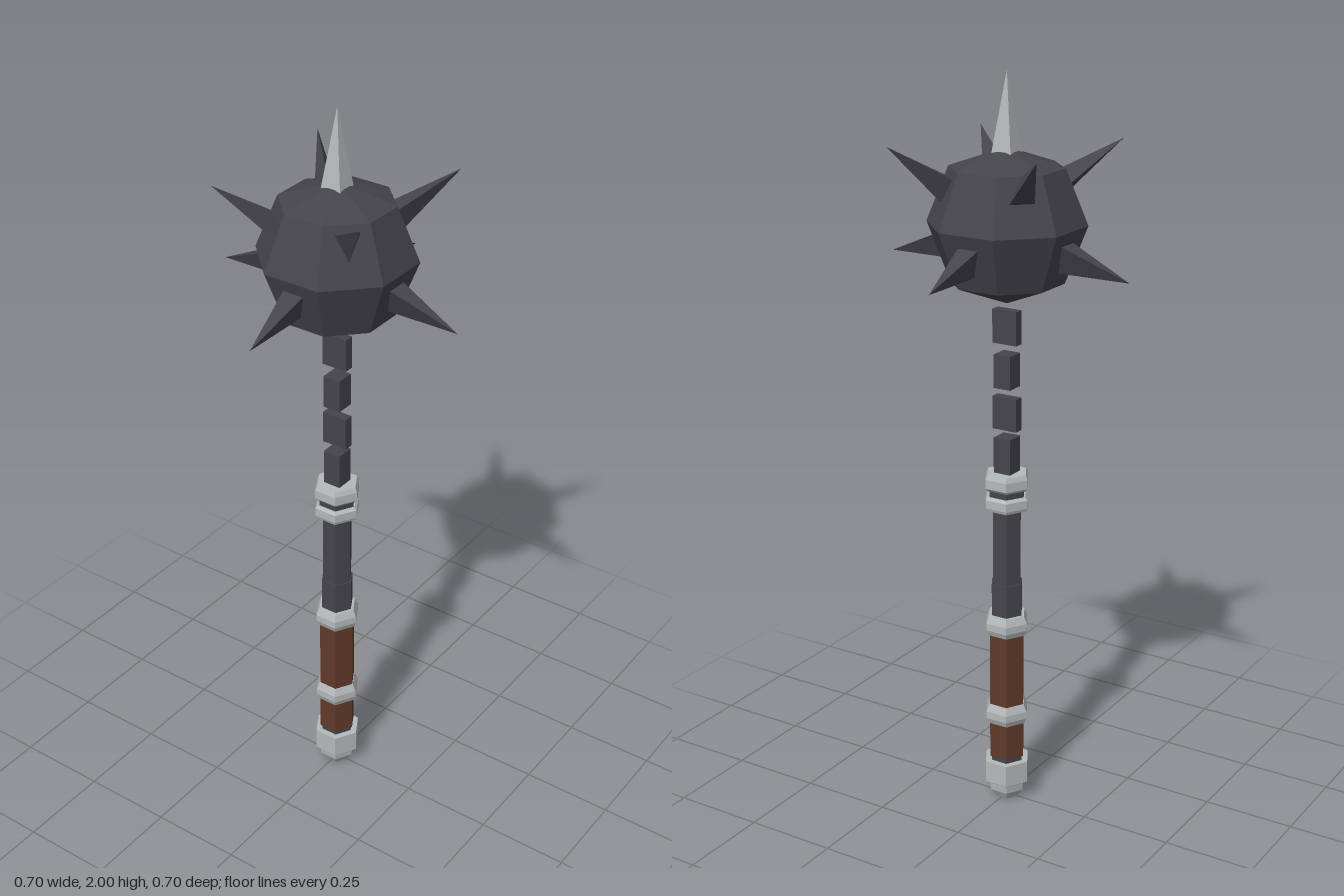
import * as THREE from 'three';
import { ConvexGeometry } from 'three/addons/geometries/ConvexGeometry.js';

const iron = new THREE.MeshStandardMaterial({ color: 0x45444b });
iron.name = 'dark iron';
const steel = new THREE.MeshStandardMaterial({ color: 0xb4b9ba });
steel.name = 'pale steel';
const leather = new THREE.MeshStandardMaterial({ color: 0x5f3a29 });
leather.name = 'brown leather';

// Faceted mesh with one normal per face
function part(parent, name, geometry, material) {
  const flat = geometry.index ? geometry.toNonIndexed() : geometry;
  flat.computeVertexNormals();
  const mesh = new THREE.Mesh(flat, material);
  mesh.name = name;
  parent.add(mesh);
  return mesh;
}

// Turned piece from [radius, y] pairs, listed bottom to top
function turned(parent, name, profile, material, sides = 6, start = 0) {
  const points = profile.map(([r, y]) => new THREE.Vector2(r, y));
  return part(parent, name, new THREE.LatheGeometry(points, sides, start), material);
}

const CENTRE = new THREE.Vector3(0, 1.615, 0);

// Three-sided spike pointing away from the ball's centre.
// slopes: half widths left and right, flat side and ridge, per unit of length
function spike(parent, name, azimuth, reach, tipY, slopes, roll = 0) {
  const length = 0.24;
  const side = new THREE.Vector3(Math.cos(azimuth), 0, -Math.sin(azimuth));
  const tip = new THREE.Vector3(Math.sin(azimuth) * reach, tipY, Math.cos(azimuth) * reach);
  const axis = tip.clone().sub(CENTRE).normalize();
  const up = axis.clone().cross(side);
  const [left, right, flat, ridge] = slopes;
  const base = [[-left, flat], [right, flat], [0, -ridge]].map(([u, v]) => {
    const c = Math.cos(roll), s = Math.sin(roll);
    return tip.clone()
      .addScaledVector(axis, -length)
      .addScaledVector(side, (u * c - v * s) * length)
      .addScaledVector(up, (u * s + v * c) * length);
  });
  return part(parent, name, new ConvexGeometry([tip, ...base]), iron);
}

export function createModel() {
  const model = new THREE.Group();
  model.name = 'flail';

  // Handle
  const handle = new THREE.Group();
  handle.name = 'handle';
  model.add(handle);
  turned(handle, 'pommel', [
    [0, 0], [0.034, 0], [0.05, 0.024], [0.053, 0.046], [0.066, 0.054], [0.066, 0.116], [0, 0.116],
  ], steel);
  turned(handle, 'pommelNeck', [[0.047, 0.11], [0.047, 0.135]], iron);
  turned(handle, 'grip', [[0, 0.13], [0.052, 0.13], [0.052, 0.53], [0, 0.53]], leather);
  for (const y of [0.233, 0.497]) {
    turned(handle, 'gripRing', [
      [0.05, y], [0.056, y], [0.063, y + 0.016], [0.063, y + 0.036], [0.054, y + 0.057], [0, y + 0.057],
    ], steel);
  }
  turned(handle, 'shaftCollar', [[0.046, 0.55], [0.046, 0.645], [0, 0.645]], iron);
  turned(handle, 'shaft', [[0.042, 0.55], [0.042, 0.87]], iron);
  turned(handle, 'lowerCap', [
    [0, 0.857], [0.06, 0.857], [0.063, 0.865], [0.063, 0.888], [0.056, 0.895], [0, 0.895],
  ], steel);
  turned(handle, 'capGroove', [[0.052, 0.89], [0.052, 0.918]], iron);
  turned(handle, 'upperCap', [
    [0, 0.912], [0.056, 0.912], [0.064, 0.92], [0.064, 0.945], [0.058, 0.958], [0, 0.958],
  ], steel);

  // Chain links, alternating square and flat
  const chain = new THREE.Group();
  chain.name = 'chain';
  model.add(chain);
  [[0.94, 1.055], [1.075, 1.164], [1.19, 1.28], [1.307, 1.397]].forEach(([y0, y1], i) => {
    const [w, d] = i % 2 ? [0.026, 0.072] : [0.05, 0.05];
    part(chain, 'chainLink', new THREE.BoxGeometry(w, y1 - y0, d), iron).position.y = (y0 + y1) / 2;
  });

  // Spiked ball
  const head = new THREE.Group();
  head.name = 'head';
  model.add(head);
  turned(head, 'ball', [
    [0, 1.413], [0.148, 1.47], [0.206, 1.62], [0.148, 1.762], [0, 1.812],
  ], iron, 8, Math.PI / 8);

  for (let i = 0; i < 4; i++) {
    spike(head, 'lowerSpike', i * Math.PI / 2, 0.352, 1.51, [0.167, 0.14, 0.117, 0.3]);
  }
  const rolls = [0, Math.PI, -Math.PI / 2, 0];
  rolls.forEach((roll, i) => {
    spike(head, 'upperSpike', Math.PI / 4 + i * Math.PI / 2, 0.302, 1.823, [0.17, 0.17, 0.12, 0.22], roll);
  });

  const topSpike = part(head, 'topSpike', new THREE.ConeGeometry(0.045, 0.23, 4), steel);
  topSpike.rotation.y = Math.PI / 4;
  topSpike.position.y = 1.885;

  return model;
}
